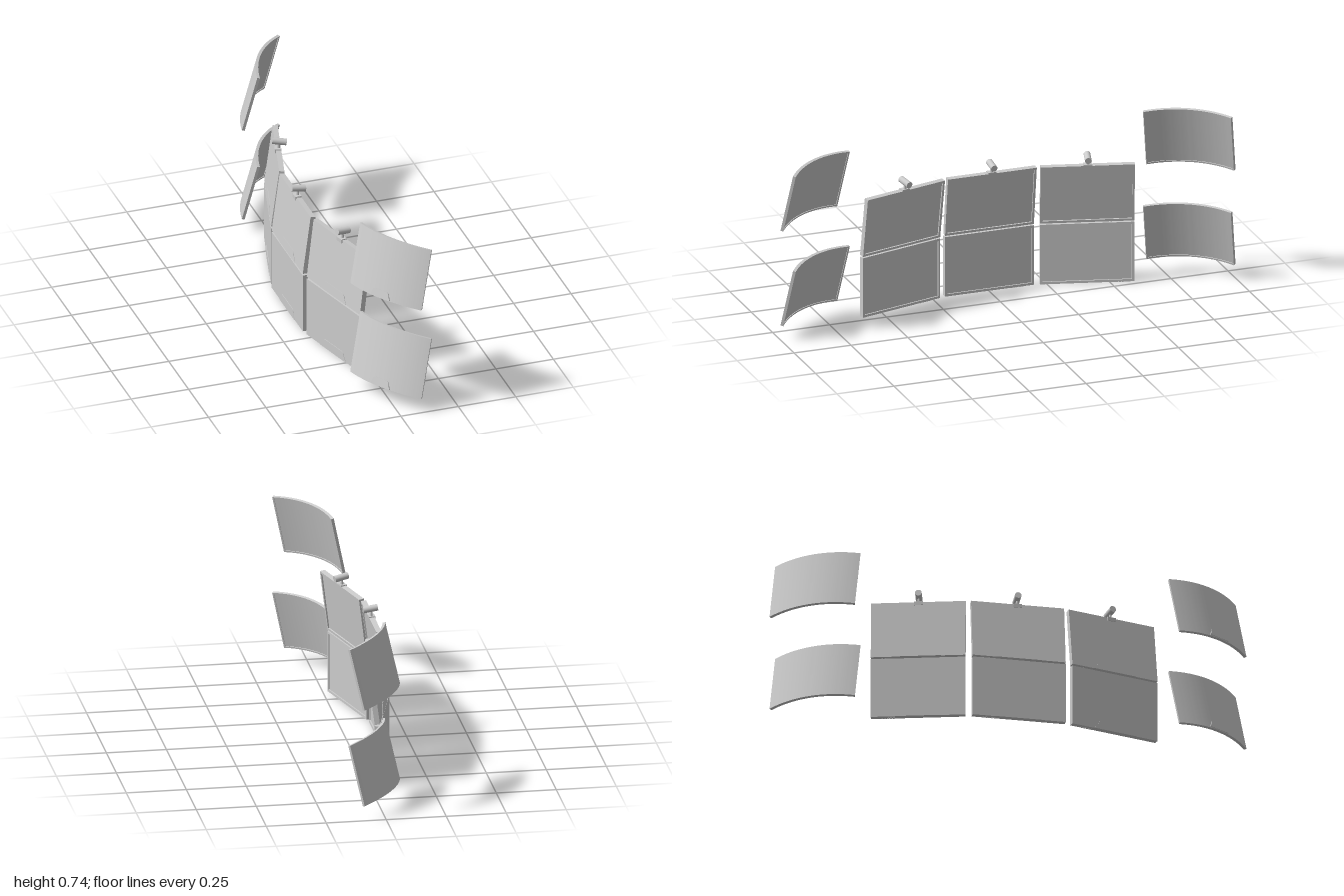
import * as THREE from 'three';
import { toCreasedNormals } from 'three/addons/utils/BufferGeometryUtils.js';

const grey = new THREE.MeshStandardMaterial({ color: 0xcccccc });
const W = 0.39, H = 0.262, T = 0.022, BEZEL = 0.01;

function add(parent, name, geometry, x = 0, y = 0, z = 0) {
  const mesh = new THREE.Mesh(geometry, grey);
  mesh.name = name;
  mesh.position.set(x, y, z);
  parent.add(mesh);
  return mesh;
}

// Rectangle outline from the bottom centre, shrunk by an inset
function rectPoints(inset) {
  const x = W / 2 - inset, a = inset, b = H - inset;
  return [[-x, a], [x, a], [x, b], [-x, b]].map(p => new THREE.Vector2(...p));
}

// Low trapezoid with rounded upper corners, for the mount on the back
function mountGeometry(w, h, depth) {
  const a = w / 2, b = a * 0.78, r = h * 0.4;
  const s = new THREE.Shape();
  s.moveTo(-a, 0);
  s.lineTo(a, 0);
  s.lineTo(b + r * 0.2, h - r);
  s.quadraticCurveTo(b, h, b - r, h);
  s.lineTo(-b + r, h);
  s.quadraticCurveTo(-b, h, -b - r * 0.2, h - r);
  s.closePath();
  return new THREE.ExtrudeGeometry(s, { depth, bevelEnabled: false, curveSegments: 5 });
}

// Flat monitor facing +z, standing on its origin
function flatMonitor(name) {
  const g = new THREE.Group();
  g.name = name;
  add(g, 'screenPanel', new THREE.BoxGeometry(W - 0.002, H - 0.002, T - 0.006), 0, H / 2, -0.003);
  const frame = new THREE.Shape(rectPoints(0));
  frame.holes.push(new THREE.Path(rectPoints(BEZEL)));
  add(g, 'bezel', new THREE.ExtrudeGeometry(frame, { depth: T, bevelEnabled: false }), 0, 0, -T / 2);
  add(g, 'rearMount', mountGeometry(0.19, 0.04, 0.006), 0, 0, -T / 2 - 0.002);
  for (let i = 0; i < 5; i++)
    add(g, 'button', new THREE.BoxGeometry(0.007, 0.004, 0.005), 0.1 + i * 0.012, -0.001, 0.004);
  return g;
}

// Webcam clipped to the top edge, looking slightly down
function webcam() {
  const g = new THREE.Group();
  g.name = 'webcam';
  add(g, 'clip', new THREE.BoxGeometry(0.036, 0.006, 0.026), 0, 0.002, -0.002);
  add(g, 'clipBack', new THREE.BoxGeometry(0.036, 0.016, 0.004), 0, -0.004, -0.014);
  add(g, 'neck', new THREE.CylinderGeometry(0.005, 0.007, 0.022, 12), 0, 0.014, 0);
  const body = add(g, 'body', new THREE.CylinderGeometry(0.014, 0.014, 0.06, 24), 0, 0.034, 0.003);
  body.rotation.x = Math.PI / 2 + 0.15;
  return g;
}

// Curved monitor: an arc in plan with its ends forward, facing +z
const R = 0.463, SAG = 0.04, HALF = 0.418;
function arcSlab(a0, a1, y0, h, rOut, rIn) {
  const s = new THREE.Shape(), c = SAG - R, mid = Math.PI / 2;
  s.absarc(0, c, rOut, mid + a0, mid + a1, false);
  s.absarc(0, c, rIn, mid + a1, mid + a0, true);
  s.closePath();
  const geo = new THREE.ExtrudeGeometry(s, { depth: h, bevelEnabled: false, curveSegments: 24 });
  geo.rotateX(-Math.PI / 2).translate(0, y0, 0);
  return toCreasedNormals(geo, 0.5);
}

function curvedMonitor(name, withMount) {
  const g = new THREE.Group(), rim = 0.007, inner = R - 0.012, da = rim / R;
  g.name = name;
  add(g, 'curvedScreen', arcSlab(-HALF, HALF, 0, 0.263, R, R - 0.009));
  for (const y of [0, 0.263 - rim])
    add(g, 'bezelEdge', arcSlab(-HALF, HALF, y, rim, R - 0.008, inner));
  for (const a of [-HALF, HALF - da])
    add(g, 'bezelSide', arcSlab(a, a + da, rim, 0.263 - 2 * rim, R - 0.008, inner));
  if (withMount) add(g, 'rearMount', mountGeometry(0.1, 0.033, 0.006), 0, 0.003, -SAG - 0.002);
  return g;
}

export function createModel() {
  const model = new THREE.Group();
  model.name = 'monitorWall';

  // Three columns of two flat monitors, the outer ones turned inward
  for (const s of [-1, 0, 1]) {
    const column = new THREE.Group();
    column.name = ['rightColumn', 'centreColumn', 'leftColumn'][s + 1];
    column.position.set(s ? -0.08 : -0.137, 0.003, s * 0.41);
    column.rotation.y = Math.PI / 2 + s * THREE.MathUtils.degToRad(15);
    const upper = flatMonitor('upperMonitor');
    upper.position.y = 0.269;
    upper.rotation.x = 0.13;
    const cam = webcam();
    cam.position.set(0, 0.528, 0.034);
    column.add(flatMonitor('lowerMonitor'), upper, cam);
    model.add(column);
  }

  // Stacked curved monitors at both ends, leaning inward
  for (const s of [-1, 1]) {
    for (const y of [0.063, 0.48]) {
      const m = curvedMonitor(y > 0.2 ? 'upperCurvedMonitor' : 'lowerCurvedMonitor', s > 0);
      m.position.set(-0.01, y, s * 0.84);
      m.rotation.order = 'YXZ';
      m.rotation.y = Math.PI / 2 + s * THREE.MathUtils.degToRad(32);
      m.rotation.x = 0.25;
      model.add(m);
    }
  }
  return model;
}
